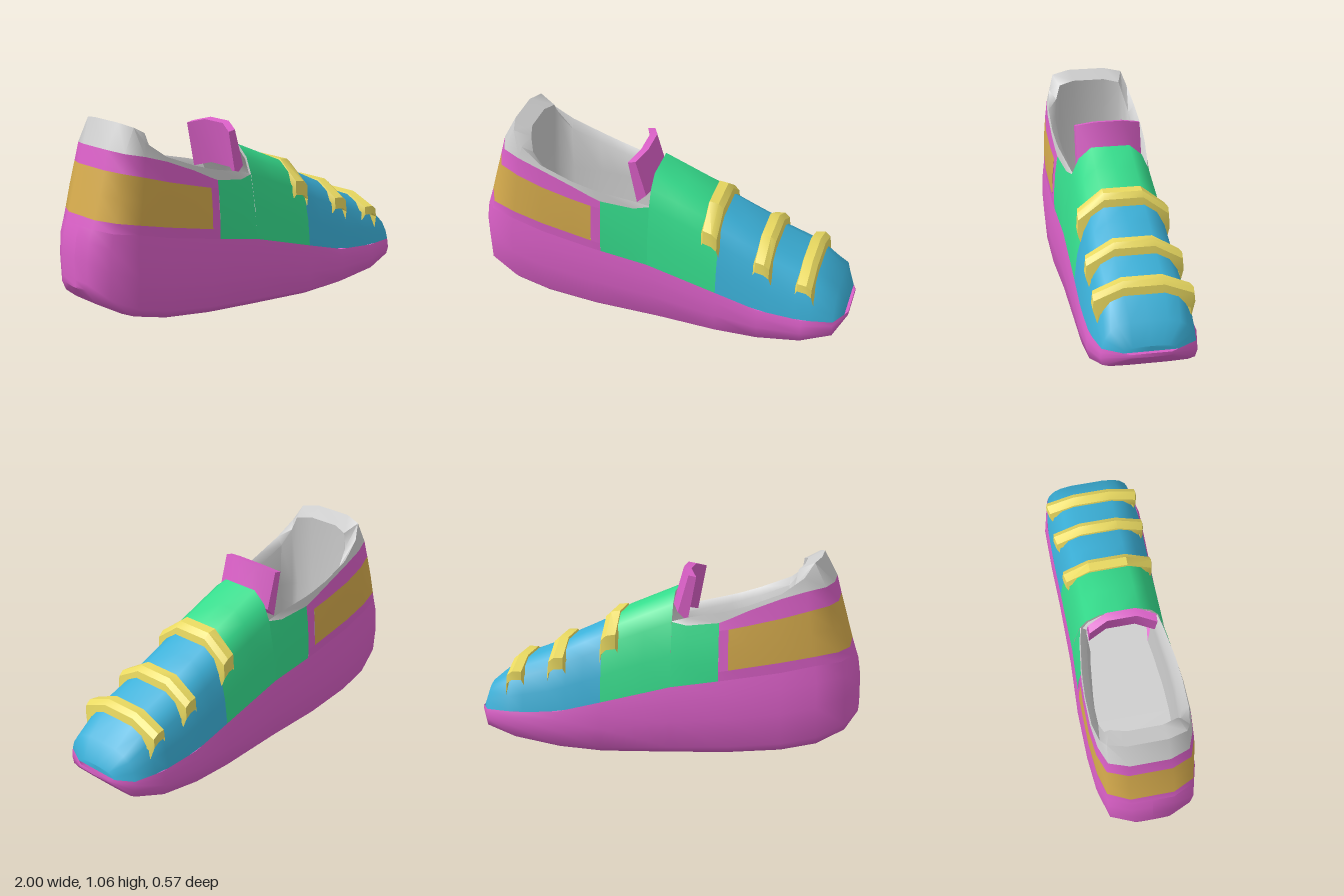
import * as THREE from 'three';
import { toCreasedNormals } from 'three/addons/utils/BufferGeometryUtils.js';

const PINK = 0xd95fc6, GREEN = 0x35dc8c, BLUE = 0x3bb0d8, YELLOW = 0xe8d860, GOLD = 0xd4aa4c, GREY = 0xcccccc;

// Piecewise linear lookup in a table of [key, value] pairs
function lookup(table, k) {
  let i = 0;
  while (i < table.length - 2 && k > table[i + 1][0]) i++;
  const [a, b] = [table[i], table[i + 1]];
  const t = THREE.MathUtils.clamp((k - a[0]) / (b[0] - a[0]), 0, 1);
  return a[1] + (b[1] - a[1]) * t;
}

// The back of the heel leans forward above the sole
const LEAN = [[0.46, 0], [0.6, 0.045], [0.84, 0.11], [0.93, 0.13], [1.05, 0.2]];
function point(x, y, z) {
  const w = THREE.MathUtils.clamp((-0.6 - x) / 0.4, 0, 1);
  return [x + lookup(LEAN, y) * w, y, z];
}

// Mesh from a grid of points: rows of equal length
function surface(name, color, grid, crease = 0) {
  const n = grid[0].length, index = [];
  for (let i = 0; i < grid.length - 1; i++) {
    for (let j = 0; j < n - 1; j++) {
      const a = i * n + j, b = a + n;
      index.push(a, b, a + 1, b, b + 1, a + 1);
    }
  }
  let geo = new THREE.BufferGeometry();
  geo.setAttribute('position', new THREE.Float32BufferAttribute(grid.flat(2), 3));
  geo.setIndex(index);
  geo.computeVertexNormals();
  if (crease) geo = toCreasedNormals(geo, crease);
  const mesh = new THREE.Mesh(geo, new THREE.MeshStandardMaterial({ color, side: THREE.DoubleSide }));
  mesh.name = name;
  return mesh;
}

const flipZ = ([x, y, z]) => [x, y, -z];
// Half profile given from the +z side to the middle, continued to the -z side
const mirrorProfile = (half) => [...half, ...half.slice(0, -1).reverse().map(flipZ)];
// Columns given from the heel forward on the +z side, continued round the heel
const mirrorColumns = (cols) => [...cols.map((c) => c.map(flipZ)).reverse(), ...cols];

// Top edge of the sole, shared with the upper
const SOLE_TOP = [[-1, 0.56], [-0.94, 0.55], [-0.8, 0.53], [-0.62, 0.49], [-0.35, 0.44], [-0.3, 0.43],
  [-0.05, 0.385], [0.32, 0.285], [0.55, 0.225], [0.78, 0.21], [0.94, 0.21], [1, 0.195]];
const SOLE_TOP_Z = [[-1, 0.11], [-0.94, 0.22], [-0.8, 0.25], [-0.62, 0.264], [-0.35, 0.268],
  [-0.05, 0.255], [0.32, 0.258], [0.55, 0.262], [0.78, 0.26], [0.94, 0.23], [1, 0.1]];
// Ridge line of the front of the upper
const RIDGE = [[-0.05, 0.86], [0.23, 0.74], [0.33, 0.668], [0.51, 0.585], [0.6, 0.53],
  [0.74, 0.475], [0.82, 0.43], [0.94, 0.335], [0.985, 0.225]];

function buildSole() {
  // x, bottom height, half width
  const stations = [[-1, 0.25, 0], [-1, 0.25, 0.11], [-0.94, 0.175, 0.225], [-0.8, 0.1, 0.262], [-0.62, 0.06, 0.278],
    [-0.35, 0.033, 0.283], [-0.05, 0.015, 0.27], [0.32, 0.002, 0.27], [0.55, 0.018, 0.276],
    [0.78, 0.058, 0.276], [0.94, 0.11, 0.238], [1, 0.175, 0.11], [1, 0.175, 0]];
  const grid = stations.map(([x, bottom, hw]) => {
    const top = lookup(SOLE_TOP, x), h = top - bottom;
    const half = [[0, 0], [0, 0.4], [0.03, 0.8], [0.13, 0.95], [0.5, 1], [0.8, 0.985]]
      .map(([f, w]) => point(x, bottom + h * f, hw * w));
    half.push(point(x, top, hw ? lookup(SOLE_TOP_Z, x) : 0));
    return mirrorProfile(half.reverse()).reverse();
  });
  return surface('sole', PINK, grid);
}

function buildHeel(group) {
  // x, gold bottom, gold top, pink top, its half width, rim height, its half width
  const table = [
    [-1, 0.605, 0.84, 0.935, 0.1, 1.06, 0.1],
    [-0.94, 0.6, 0.832, 0.925, 0.2, 1.045, 0.195],
    [-0.8, 0.577, 0.807, 0.905, 0.235, 0.97, 0.222],
    [-0.62, 0.543, 0.768, 0.867, 0.25, 0.89, 0.243],
    [-0.45, 0.51, 0.725, 0.8, 0.252, 0.826, 0.247],
    [-0.35, 0.49, 0.7, 0.752, 0.248, 0.795, 0.242],
    [-0.3, 0.48, 0.69, 0.73, 0.244, 0.782, 0.238],
    [-0.13, 0.45, 0.6, 0.705, 0.222, 0.745, 0.215],
    [-0.05, 0.44, 0.6, 0.717, 0.204, 0.72, 0.2]];
  const wall = (row, y) => {
    const [x, , , pink, zPink] = row, y0 = lookup(SOLE_TOP, x);
    const t = (y - y0) / (pink - y0), z0 = lookup(SOLE_TOP_Z, x);
    return point(x, y, z0 + (zPink - z0) * t + 0.03 * t * (1 - t));
  };
  const band = (rows, levels) => mirrorColumns(rows.map((r) => levels(r).map((y) => wall(r, y))));
  const gold = table.slice(0, 6), pink = table.slice(0, 7);
  group.add(surface('heelPanelBottom', PINK, band(pink, (r) => [lookup(SOLE_TOP, r[0]), r[1]])));
  group.add(surface('heelPanelTop', PINK, band(pink, (r) => [r[2], r[3]])));
  group.add(surface('heelStripe', GOLD, band(gold, (r) => [r[1], (r[1] + r[2]) / 2, r[2]])));

  // Pink bar ahead of the stripe and green quarter on each side
  const strip = (rows, levels, s) => {
    const cols = rows.map((r) => levels(r).map((y) => wall(r, y)));
    return s > 0 ? cols : cols.map((c) => c.map(flipZ)).reverse();
  };
  for (const s of [1, -1]) {
    const side = s > 0 ? 'left' : 'right';
    group.add(surface(side + 'StripeEdge', PINK, strip(table.slice(5, 7), (r) => [r[1], r[2]], s)));
    group.add(surface(side + 'Quarter', GREEN, strip(table.slice(6), (r) => {
      const y0 = lookup(SOLE_TOP, r[0]);
      return [0, 0.35, 0.7, 1].map((t) => y0 + (r[3] - y0) * t);
    }, s)));
  }

  // Padded collar, rolling over the rim and down inside to the footbed
  const collar = table.map((r) => {
    const [x, , , yPink, , yRim, zRim] = r;
    const [rx] = point(x, yRim, zRim);
    const back = THREE.MathUtils.clamp((-0.6 - x) / 0.35, 0, 1);
    const ix = rx + 0.085 * back, iz = zRim * 0.86;
    return [wall(r, yPink), [rx, yRim, zRim], [ix, yRim - 0.04, iz],
      [ix - 0.02 * back, 0.6, iz], [ix, 0.33, iz * 0.92]];
  });
  group.add(surface('collarLining', GREY, mirrorColumns(collar), 0.9));
  const bed = [...collar.map((c) => c[4]), [0.3, 0.33, 0.2]];
  group.add(surface('footbed', GREY, bed.map((p) => [flipZ(p), p].reverse())));
}

// Arched section of the front upper
function arch(x, inset = 0, widthScale = 1) {
  const y0 = lookup(SOLE_TOP, x), h = lookup(RIDGE, x) - inset - y0;
  const z0 = (lookup(SOLE_TOP_Z, x) - inset) * widthScale;
  return mirrorProfile([[1, 0], [0.94, 0.35], [0.81, 0.7], [0.66, 0.88], [0.4, 1], [0, 1]]
    .map(([w, f]) => [x, y0 + h * f, z0 * w]));
}

function buildFront(group) {
  group.add(surface('vamp', GREEN, [-0.05, 0.1, 0.23, 0.32].map((x) => arch(x))));
  const toe = [0.32, 0.42, 0.51, 0.6, 0.74, 0.82, 0.94, 0.985].map((x) => arch(x));
  group.add(surface('toeCap', BLUE, [...toe, arch(0.985, 0, 0)]));
  const lining = [-0.05, 0.1, 0.3].map((x) => arch(x, 0.015));
  group.add(surface('vampLining', GREY, [arch(0.3, 0.015, 0), ...lining.reverse()]));
  group.add(surface('vampEdge', GREY, [arch(-0.05, 0.015), arch(-0.05)]));
}

// Raised strap across the front: start x, drop scale, half width
function strap(x0, k, hw) {
  const grid = [[0, -0.025], [0.012, 0.012], [0.06, 0.04], [0.088, 0.034], [0.1, -0.025]].map(([dx, lift]) => {
    const x = x0 + dx, y = lookup(RIDGE, x) + lift, out = lift * 0.35;
    return mirrorProfile([[hw - 0.04, -0.165 * k], [hw + out + 0.005, -0.175 * k], [hw + out, -0.1 * k], [0.1, 0], [0, 0]]
      .map(([z, dy]) => [x, y + dy, z]));
  });
  return surface('strap', YELLOW, grid, 0.6);
}

function buildTongue() {
  // Vertical section (bottom front, top front, top back, bottom back), bent back at the sides
  const section = [[-0.035, 0.79], [-0.09, 0.983], [-0.13, 0.975], [-0.085, 0.74], [-0.035, 0.79]];
  const at = (z, bend) => section.map(([x, y]) => [x - 0.04 * bend, y - 0.027 * bend, z]);
  const cap = (z) => section.map(() => [-0.125, 0.85, z]);
  const grid = [cap(0.172), at(0.172, 1), at(0.075, 0), at(-0.075, 0), at(-0.172, 1), cap(-0.172)];
  return surface('tongue', PINK, grid, 0.5);
}

export function createModel() {
  const shoe = new THREE.Group();
  shoe.name = 'shoe';
  shoe.add(buildSole());
  buildHeel(shoe);
  buildFront(shoe);
  for (const [x, k, hw] of [[0.23, 1, 0.222], [0.51, 0.8, 0.23], [0.735, 0.58, 0.235]]) shoe.add(strap(x, k, hw));
  shoe.add(buildTongue());
  return shoe;
}
